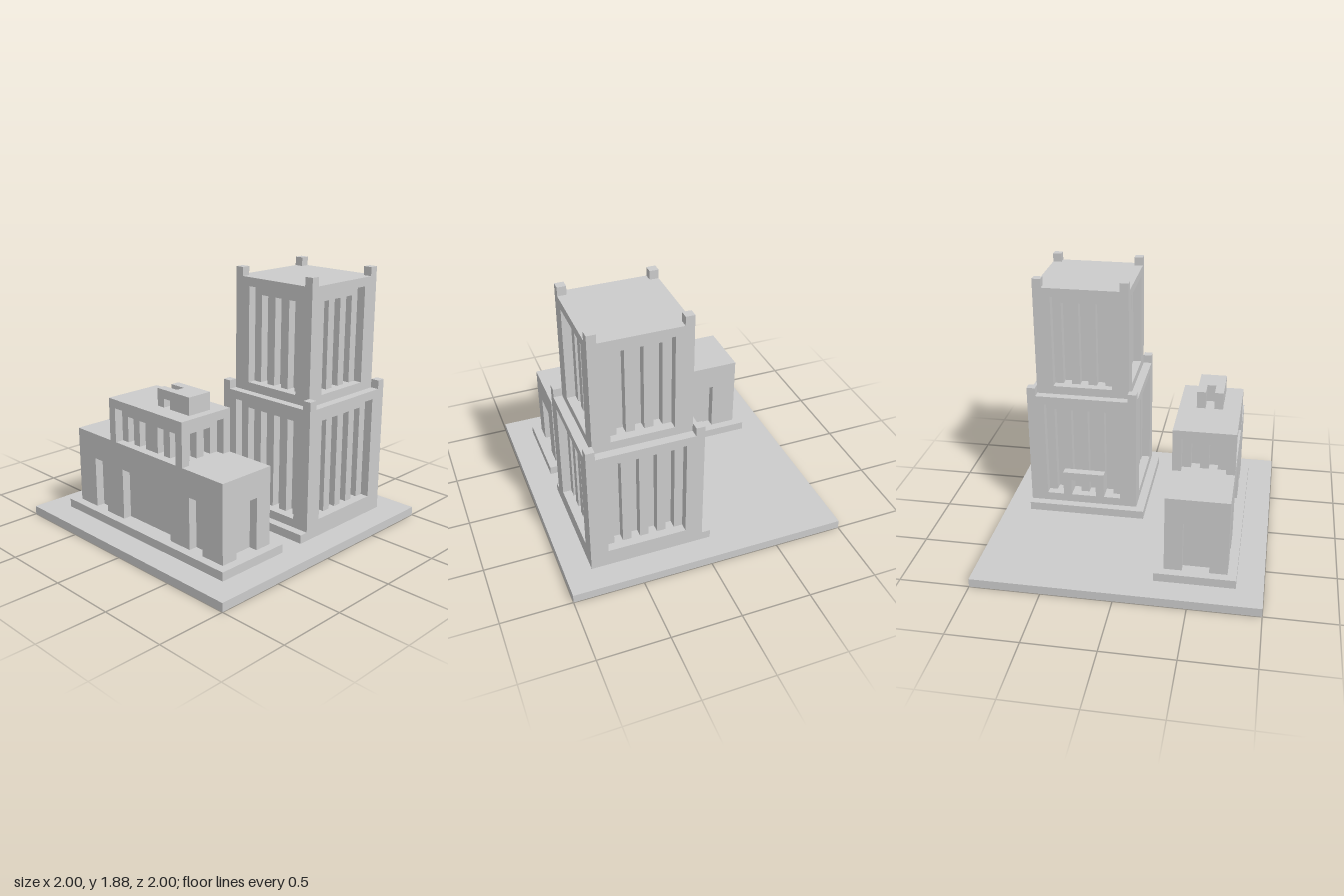
import * as THREE from 'three';

// All sizes below are in cells of 1/16 unit; the whole group is scaled once.
const CELL = 1 / 16;
const material = new THREE.MeshStandardMaterial({ color: 0xcccccc, flatShading: true });

function addMesh(parent, name, geometry) {
  const mesh = new THREE.Mesh(geometry, material);
  mesh.name = name;
  parent.add(mesh);
  return mesh;
}

// Box given by its minimum and maximum corners
function box(parent, name, [x0, y0, z0], [x1, y1, z1]) {
  const mesh = addMesh(parent, name, new THREE.BoxGeometry(x1 - x0, y1 - y0, z1 - z0));
  mesh.position.set((x0 + x1) / 2, (y0 + y1) / 2, (z0 + z1) / 2);
  return mesh;
}

// Wall plate one cell thick; openings are { centres, width, y0, y1 }.
// Openings that reach the foot become notches in the outline, others become holes.
function plateGeometry(width, y0, y1, openings) {
  const rects = openings.flatMap(o => o.centres.map(c =>
    ({ l: c - o.width / 2, r: c + o.width / 2, b: o.y0, t: o.y1 })));
  rects.sort((a, b) => a.l - b.l);
  const outline = [[-width / 2, y0]];
  const holes = [];
  for (const { l, r, b, t } of rects) {
    if (b <= y0) outline.push([l, y0], [l, t], [r, t], [r, y0]);
    else holes.push([[l, b], [l, t], [r, t], [r, b]]);
  }
  outline.push([width / 2, y0], [width / 2, y1], [-width / 2, y1]);
  const toVectors = pts => pts.map(p => new THREE.Vector2(...p));
  const shape = new THREE.Shape(toVectors(outline));
  shape.holes = holes.map(h => new THREE.Path(toVectors(h)));
  return new THREE.ExtrudeGeometry(shape, { depth: 1, bevelEnabled: false });
}

// Storey: a solid core wrapped in layers of pierced plates, so openings step inwards
function storey(parent, name, { x, z, w, d, y0, y1, layers }) {
  const group = new THREE.Group();
  group.name = name;
  group.position.set(x, 0, z);
  parent.add(group);
  layers.forEach(({ front, side }, k) => {
    const lw = w - 2 * k, ld = d - 2 * k;
    for (let i = 0; i < 4; i++) {
      const isSide = i % 2 === 1;
      const geometry = plateGeometry(isSide ? ld - 2 : lw, y0, y1, isSide ? side : front);
      geometry.translate(0, 0, (isSide ? lw : ld) / 2 - 1);
      const wall = addMesh(group, k ? 'slitWall' : 'outerWall', geometry);
      wall.rotation.y = i * Math.PI / 2;
    }
  });
  const n = layers.length;
  box(group, 'core', [-w / 2 + n, y0, -d / 2 + n], [w / 2 - n, y1, d / 2 - n]);
  return group;
}

// Four small posts on the corners of a square roof
function cornerPosts(parent, name, cx, cz, size, y) {
  for (const sx of [-1, 1]) for (const sz of [-1, 1]) {
    const px = cx + sx * (size - 1) / 2, pz = cz + sz * (size - 1) / 2;
    box(parent, name, [px - 0.5, y, pz - 0.5], [px + 0.5, y + 1, pz + 0.5]);
  }
}

function buildTower() {
  const tower = new THREE.Group();
  tower.name = 'tower';
  box(tower, 'towerPlinth', [-1, 1, -13], [13, 2, 1]);

  const panel = (width, y0, y1) => [{ centres: [0], width, y0, y1 }];
  const slits = (centres, y0, y1) => [{ centres, width: 1, y0, y1 }];
  const both = list => ({ front: list, side: list });

  storey(tower, 'lowerTower', {
    x: 6.5, z: -6.5, w: 13, d: 13, y0: 2, y1: 16,
    layers: [both(panel(9, 3, 15)), both(slits([-3, -1, 1, 3], 3, 14))],
  });
  storey(tower, 'upperTower', {
    x: 6.5, z: -6.5, w: 11, d: 11, y0: 16, y1: 29,
    layers: [both(panel(7, 17, 28)), both(slits([-2, 0, 2], 17, 27))],
  });
  cornerPosts(tower, 'lowerCornerPost', 6.5, -6.5, 13, 16);
  cornerPosts(tower, 'upperCornerPost', 6.5, -6.5, 11, 29);

  // Door surround standing in the side recess
  const porch = addMesh(tower, 'towerDoorway',
    plateGeometry(5, 3, 6, [{ centres: [0], width: 3, y0: 3, y1: 5 }]));
  porch.rotation.y = -Math.PI / 2;
  porch.position.set(1, 0, -6.5);
  return tower;
}

function buildHall() {
  const hall = new THREE.Group();
  hall.name = 'hall';
  box(hall, 'hallPlinth', [-13, 1, 4], [13, 2, 13]);

  storey(hall, 'lowerHall', {
    x: 0, z: 8.5, w: 24, d: 7, y0: 2, y1: 11,
    layers: [{
      front: [{ centres: [0], width: 8, y0: 2, y1: 8 }, { centres: [-8, 8], width: 2, y0: 2, y1: 8 }],
      side: [{ centres: [0], width: 3, y0: 2, y1: 8 }],
    }],
  });
  storey(hall, 'upperHall', {
    x: 0, z: 8.5, w: 12, d: 7, y0: 11, y1: 16,
    layers: [
      {
        front: [{ centres: [0], width: 10, y0: 11, y1: 15 }],
        side: [{ centres: [0], width: 5, y0: 11, y1: 15 }],
      },
      {
        front: [{ centres: [-3.5, -1.5, 1.5, 3.5], width: 1, y0: 11, y1: 14 }],
        side: [{ centres: [-1, 1], width: 1, y0: 11, y1: 14 }],
      },
    ],
  });

  // Door surround in the rear recess
  const porch = addMesh(hall, 'hallDoorway',
    plateGeometry(4, 2, 6, [{ centres: [0], width: 2, y0: 2, y1: 5 }]));
  porch.position.z = 5;

  // Roof block with two arms, each pierced at the foot
  box(hall, 'roofBlock', [2, 16, 7], [5, 18, 10]);
  for (const z of [7, 9]) {
    box(hall, 'roofArmPost', [0, 16, z], [1, 18, z + 1]);
    box(hall, 'roofArmBeam', [1, 17, z], [2, 18, z + 1]);
  }
  return hall;
}

export function createModel() {
  const model = new THREE.Group();
  model.name = 'towerAndHall';
  box(model, 'base', [-16, 0, -16], [16, 1, 16]);
  model.add(buildTower(), buildHall());
  model.scale.setScalar(CELL);
  return model;
}
